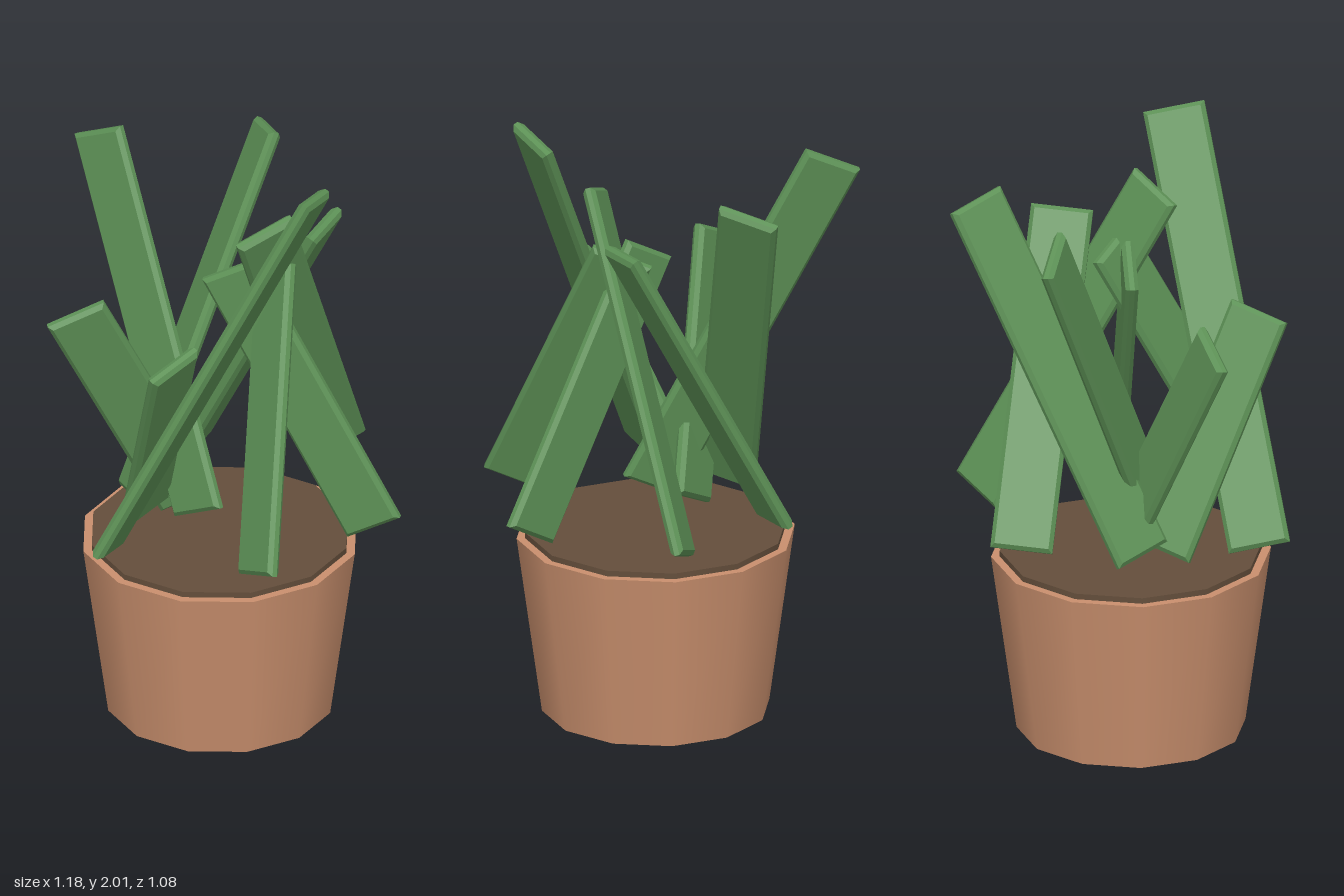
import * as THREE from 'three';

const leafGreen = new THREE.MeshStandardMaterial({ color: 0x5d9156 });
leafGreen.name = 'leafGreen';
const terracotta = new THREE.MeshStandardMaterial({ color: 0xc98f6d });
terracotta.name = 'terracotta';
const soilBrown = new THREE.MeshStandardMaterial({ color: 0x644e3b });
soilBrown.name = 'soilBrown';

const WIDTH = 0.2, THICK = 0.042, BEVEL = 0.013;

// Flat slab with chamfered edges, centred, long side on y
function slab(length) {
  const w = WIDTH / 2 - BEVEL, h = length / 2 - BEVEL;
  const outline = new THREE.Shape([
    new THREE.Vector2(-w, -h), new THREE.Vector2(w, -h),
    new THREE.Vector2(w, h), new THREE.Vector2(-w, h),
  ]);
  const depth = THICK - 2 * BEVEL;
  const geo = new THREE.ExtrudeGeometry(outline, {
    depth, bevelEnabled: true, bevelThickness: BEVEL, bevelSize: BEVEL, bevelSegments: 1,
  });
  return geo.translate(0, 0, -depth / 2);
}

// Leaf running from bottom to top, with its broad side along 'across'
function leaf(bottom, top, across) {
  const a = new THREE.Vector3(...bottom), b = new THREE.Vector3(...top);
  const up = b.clone().sub(a);
  const length = up.length();
  up.normalize();
  const side = new THREE.Vector3(...across);
  side.addScaledVector(up, -side.dot(up)).normalize();
  const normal = new THREE.Vector3().crossVectors(side, up);
  const mesh = new THREE.Mesh(slab(length), leafGreen);
  mesh.quaternion.setFromRotationMatrix(new THREE.Matrix4().makeBasis(side, up, normal));
  mesh.position.copy(a).add(b).multiplyScalar(0.5);
  return mesh;
}

// Bottom centre, top centre, width direction
const LEAVES = [
  [[0.50, 0.71, 0.04], [0.015, 1.58, 0.04], [0.17, 0.1, 0]],
  [[0.235, 0.715, 0.46], [0.16, 1.60, -0.01], [0.155, 0.09, 0.12]],
  [[-0.28, 0.71, 0.43], [0.355, 1.985, 0.21], [0.03, -0.02, -0.2]],
  [[-0.245, 0.695, 0.12], [-0.05, 1.435, 0.45], [0.105, 0.05, -0.175]],
  [[-0.13, 0.695, 0], [-0.43, 1.47, 0.27], [0.18, 0.09, -0.06]],
  [[-0.06, 0.72, 0.125], [-0.505, 1.85, -0.255], [0.175, 0.075, 0.065]],
  [[-0.31, 0.71, 0.05], [0, 1.835, -0.46], [0.105, 0.05, 0.16]],
  [[-0.215, 0.70, -0.33], [0.28, 1.68, -0.155], [0.035, 0.01, -0.2]],
  [[0.24, 0.72, -0.43], [0.16, 1.79, 0.135], [0.155, 0.08, -0.12]],
];

export function createModel() {
  const model = new THREE.Group();
  model.name = 'pottedPlant';

  // Tapered pot, twelve sides
  const pot = new THREE.Mesh(new THREE.CylinderGeometry(0.45, 0.368, 0.596, 12), terracotta);
  pot.name = 'pot';
  pot.position.set(-0.015, 0.298, 0.04);
  model.add(pot);

  // Soil disc rising just above the rim
  const soil = new THREE.Mesh(new THREE.CylinderGeometry(0.422, 0.422, 0.04, 12), soilBrown);
  soil.name = 'soil';
  soil.position.set(-0.015, 0.595, 0.04);
  model.add(soil);

  // Ring of leaning leaves
  const leaves = new THREE.Group();
  leaves.name = 'leaves';
  LEAVES.forEach((spec, i) => {
    const mesh = leaf(...spec);
    mesh.name = `leaf${i + 1}`;
    leaves.add(mesh);
  });
  model.add(leaves);
  return model;
}
